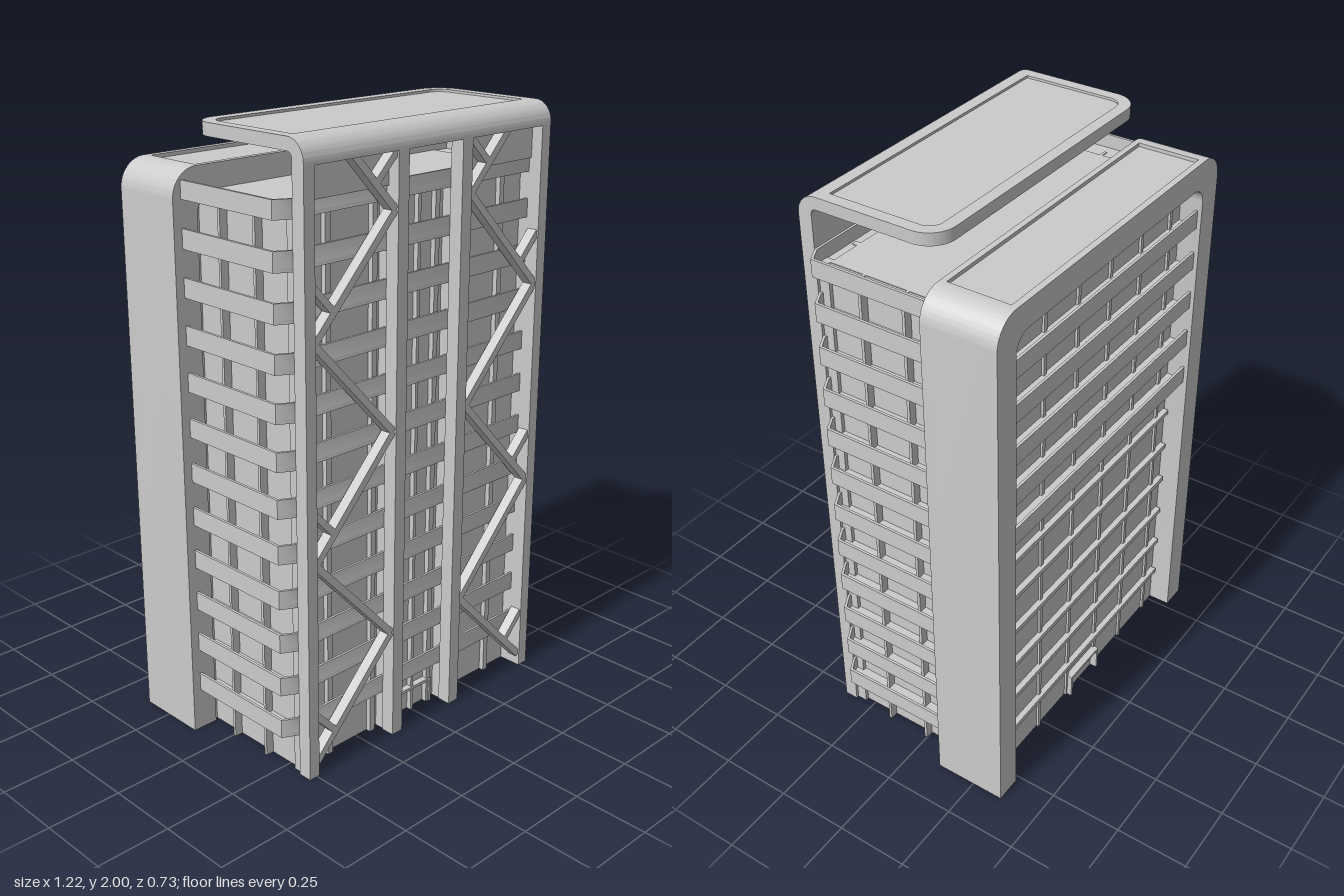
import * as THREE from 'three';
import { toCreasedNormals } from 'three/addons/utils/BufferGeometryUtils.js';

const material = new THREE.MeshStandardMaterial({ color: 0xcccccc });

export function createModel() {
  const model = new THREE.Group();

  const add = (name, geometry) => {
    const mesh = new THREE.Mesh(geometry, material);
    mesh.name = name;
    model.add(mesh);
    return mesh;
  };
  // Box given by its limits on each axis
  const box = (name, x0, x1, y0, y1, z0, z1) => {
    const mesh = add(name, new THREE.BoxGeometry(x1 - x0, y1 - y0, z1 - z0));
    mesh.position.set((x0 + x1) / 2, (y0 + y1) / 2, (z0 + z1) / 2);
  };
  const extrude = (shape, depth) => toCreasedNormals(
    new THREE.ExtrudeGeometry(shape, { depth, bevelEnabled: false, curveSegments: 10 }), 0.6);
  // Plan outline (x, -z) raised between two heights
  const plan = (name, shape, y0, y1) => {
    const geometry = extrude(shape, y1 - y0);
    geometry.rotateX(-Math.PI / 2);
    geometry.translate(0, y0, 0);
    add(name, geometry);
  };
  const polygon = (points) => new THREE.Shape(points.map(([x, y]) => new THREE.Vector2(x, y)));
  // Symmetric outline with straight bottom and rounded top corners
  const roundTop = (path, w, y0, y1, r) => {
    path.moveTo(-w, y0);
    path.lineTo(w, y0);
    path.lineTo(w, y1 - r);
    path.absarc(w - r, y1 - r, r, 0, Math.PI / 2, false);
    path.lineTo(-w + r, y1);
    path.absarc(-w + r, y1 - r, r, Math.PI / 2, Math.PI, false);
    path.closePath();
    return path;
  };

  // Main block, its rear part filling the arch
  box('frontBlock', -0.507, 0.507, 0, 1.79, -0.12, 0.283);
  box('rearBlock', -0.522, 0.522, 0, 1.79, -0.285, -0.12);

  // Balconies around the front and sides: thin slab with a thin parapet
  const outer = [[-0.58, 0.11], [-0.58, -0.29], [-0.53, -0.317], [0.53, -0.317], [0.58, -0.29], [0.58, 0.11]];
  const inner = [[0.571, 0.11], [0.571, -0.285], [0.528, -0.309], [-0.528, -0.309], [-0.571, -0.285], [-0.571, 0.11]];
  const slabShape = polygon(outer);
  const parapetShape = polygon([...outer, ...inner]);
  const floors = 12;
  const bandY = (i) => 0.142 + 0.1485 * i;
  for (let i = 0; i < floors; i++) {
    const y = bandY(i);
    plan('balconySlab', slabShape, y, y + 0.012);
    plan('balconyParapet', parapetShape, y + 0.012, Math.min(y + 0.062, 1.833));
  }

  // Window mullions
  for (const s of [-1, 1]) {
    for (const x of [0.08, 0.19, 0.38]) {
      box('frontMullion', s * x - 0.01, s * x + 0.01, 0, 1.79, 0.283, 0.3);
    }
    for (const z of [0.005, 0.16]) {
      box('sideMullion', s * 0.52 - 0.015, s * 0.52 + 0.015, 0, 1.79, z - 0.005, z + 0.005);
    }
    for (const x of [0.09, 0.27, 0.45]) {
      box('backMullion', s * x - 0.007, s * x + 0.007, 0, 1.785, -0.293, -0.285);
    }
  }
  box('frontMullion', -0.006, 0.006, 0, 1.79, 0.283, 0.3);

  // Back facade: thin rails below, balconies with parapets above
  for (let i = 0; i < 6; i++) {
    box('backRail', -0.51, 0.51, bandY(i), bandY(i) + 0.018, -0.305, -0.285);
  }
  for (let i = 6; i < 11; i++) {
    const y = bandY(i);
    box('backSlab', -0.522, 0.522, y, y + 0.012, -0.348, -0.285);
    box('backParapet', -0.522, 0.522, y + 0.012, y + 0.062, -0.348, -0.339);
  }

  // Door surrounds, front and back
  for (const [z0, z1] of [[0.283, 0.305], [-0.31, -0.285]]) {
    box('doorJamb', -0.09, -0.08, 0, 0.09, z0, z1);
    box('doorJamb', 0.08, 0.09, 0, 0.09, z0, z1);
    box('doorHead', -0.09, 0.09, 0.08, 0.09, z0, z1);
  }

  // Rear arch, cut in slices so its roof carries a shallow inset
  const archSlice = (z0, z1, inset) => {
    const s = new THREE.Shape();
    const w = 0.61, top = 1.867, r = 0.09, iw = 0.52, it = 1.78, ir = 0.06;
    s.moveTo(iw, 0);
    s.lineTo(w, 0);
    s.lineTo(w, top - r);
    s.absarc(w - r, top - r, r, 0, Math.PI / 2, false);
    if (inset) {
      s.lineTo(0.51, top);
      s.lineTo(0.51, top - 0.012);
      s.lineTo(-0.51, top - 0.012);
      s.lineTo(-0.51, top);
    }
    s.lineTo(-w + r, top);
    s.absarc(-w + r, top - r, r, Math.PI / 2, Math.PI, false);
    s.lineTo(-w, 0);
    s.lineTo(-iw, 0);
    s.lineTo(-iw, it - ir);
    s.absarc(-iw + ir, it - ir, ir, Math.PI, Math.PI / 2, true);
    s.lineTo(iw - ir, it);
    s.absarc(iw - ir, it - ir, ir, Math.PI / 2, 0, true);
    s.closePath();
    const geometry = extrude(s, z1 - z0);
    geometry.translate(0, 0, z0);
    add('rearArch', geometry);
  };
  archSlice(-0.362, -0.34, false);
  archSlice(-0.34, -0.13, true);
  archSlice(-0.13, -0.11, false);

  // Roof canopy: slab with an inset panel
  const rim = roundTop(new THREE.Shape(), 0.53, -0.3, 0.117, 0.085);
  rim.holes.push(roundTop(new THREE.Path(), 0.49, -0.28, 0.077, 0.045));
  plan('canopyRim', rim, 1.96, 2);
  plan('canopyPanel', roundTop(new THREE.Shape(), 0.49, -0.28, 0.077, 0.045), 1.96, 1.992);

  // Rounded bend joining the canopy to the front frame
  const bend = new THREE.Shape();
  bend.moveTo(0.3, 2);
  bend.absarc(0.3, 1.935, 0.065, Math.PI / 2, 0, true);
  bend.lineTo(0.365, 1.925);
  bend.lineTo(0.318, 1.925);
  bend.lineTo(0.318, 1.942);
  bend.absarc(0.3, 1.942, 0.018, 0, Math.PI / 2, false);
  bend.closePath();
  const bendGeometry = extrude(bend, 1.06);
  bendGeometry.rotateY(-Math.PI / 2);
  bendGeometry.translate(0.53, 0, 0);
  add('canopyBend', bendGeometry);

  // Front frame: posts and zigzag bracing, mirrored
  const brace = (s, x0, y0, x1, y1, width) => {
    const dx = x1 - x0, dy = y1 - y0;
    const mesh = add('brace', new THREE.BoxGeometry(Math.hypot(dx, dy), width, 0.036));
    mesh.position.set(s * (x0 + x1) / 2, (y0 + y1) / 2, 0.342);
    mesh.rotation.z = Math.atan2(dy, s * dx);
  };
  const nodes = [[0.34, 1.94], [0.165, 1.755], [0.49, 1.415], [0.165, 1.07],
    [0.49, 0.725], [0.165, 0.38], [0.49, 0.045]];
  for (const s of [-1, 1]) {
    box('outerPost', s * 0.51 - 0.02, s * 0.51 + 0.02, 0, 1.93, 0.318, 0.365);
    box('innerPost', s * 0.138 - 0.022, s * 0.138 + 0.022, 0, 1.93, 0.318, 0.365);
    // Piers tying the posts back to the block
    box('outerPier', s * 0.505 - 0.015, s * 0.505 + 0.015, 0, 1.79, 0.283, 0.318);
    box('innerPier', s * 0.138 - 0.018, s * 0.138 + 0.018, 0, 1.79, 0.283, 0.318);
    // Panel closing the top of each braced bay
    box('topPanel', s * 0.325 - 0.165, s * 0.325 + 0.165, 1.82, 1.93, 0.318, 0.325);
    for (let i = 1; i < nodes.length; i++) brace(s, ...nodes[i - 1], ...nodes[i], 0.024);
    // Short struts closing small triangles beside the nodes
    for (const y of [1.415, 0.725, 0.045]) brace(s, 0.495, y + 0.17, 0.415, y + 0.085, 0.022);
    brace(s, 0.16, 1.925, 0.24, 1.845, 0.022);
  }
  return model;
}
